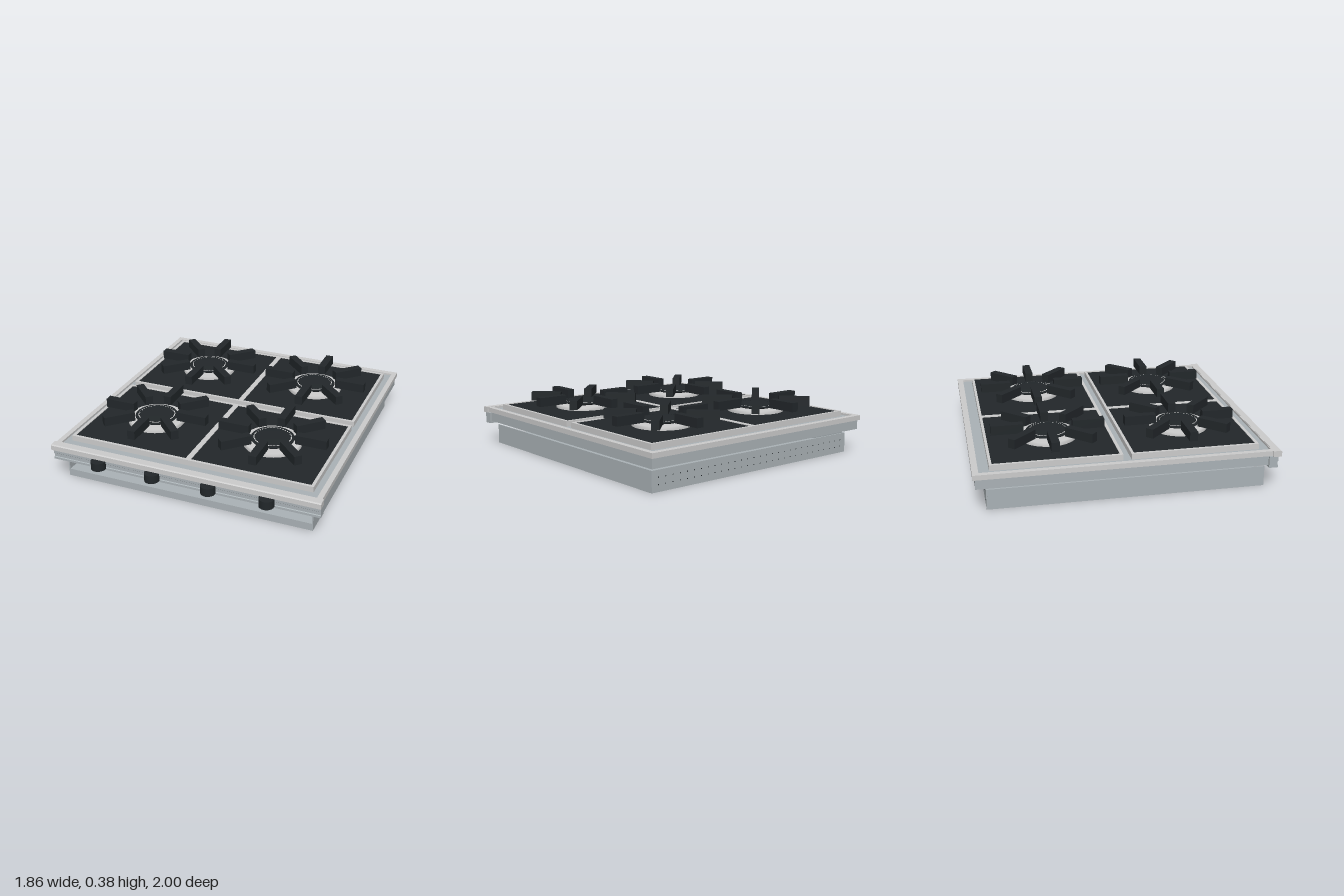
import * as THREE from 'three';

const steel = new THREE.MeshStandardMaterial({ color: 0xaab2b6 });
const light = new THREE.MeshStandardMaterial({ color: 0xcccccc, side: THREE.DoubleSide });
const dark = new THREE.MeshStandardMaterial({ color: 0x22272a });

function add(parent, name, geometry, material) {
  const mesh = new THREE.Mesh(geometry, material);
  mesh.name = name;
  parent.add(mesh);
  return mesh;
}

// Box given by its limits on each axis
function box(parent, name, [x0, x1], [y0, y1], [z0, z1], material) {
  const mesh = add(parent, name, new THREE.BoxGeometry(x1 - x0, y1 - y0, z1 - z0), material);
  mesh.position.set((x0 + x1) / 2, (y0 + y1) / 2, (z0 + z1) / 2);
  return mesh;
}

// Flat rectangular frame lying in xz, with a rectangular opening
function frame(parent, name, [x0, x1], [z0, z1], [ix0, ix1], [iz0, iz1], [y0, y1], material) {
  const rect = (Type, a, b, c, d) => new Type([[a, c], [b, c], [b, d], [a, d]].map(p => new THREE.Vector2(...p)));
  const shape = rect(THREE.Shape, x0, x1, -z1, -z0);
  shape.holes.push(rect(THREE.Path, ix0, ix1, -iz1, -iz0));
  const geo = new THREE.ExtrudeGeometry(shape, { depth: y1 - y0, bevelEnabled: false });
  geo.rotateX(-Math.PI / 2).translate(0, y0, 0);
  return add(parent, name, geo, material);
}

// Profile of [z, y] points swept along x, centred
function sweepX(parent, name, points, width, material) {
  const shape = new THREE.Shape(points.map(([z, y]) => new THREE.Vector2(-z, y)));
  const geo = new THREE.ExtrudeGeometry(shape, { depth: width, bevelEnabled: false });
  geo.rotateY(Math.PI / 2).translate(-width / 2, 0, 0);
  return add(parent, name, geo, material);
}

const lathe = (points, segments = 48) =>
  new THREE.LatheGeometry(points.map(p => new THREE.Vector2(...p)), segments);

function createBase() {
  const g = new THREE.Group();
  g.name = 'baseTray';
  box(g, 'trayFloor', [-0.86, 0.86], [0, 0.05], [-0.91, 0.875], steel);
  for (const s of [-1, 1]) {
    const x = s * 0.857;
    box(g, 'traySide', [x - 0.004, x + 0.004], [0, 0.135], [-0.91, 0.875], steel);
  }
  box(g, 'trayBack', [-0.86, 0.86], [0, 0.135], [-0.92, -0.91], steel);

  // Small vent holes along the back
  const vents = new THREE.InstancedMesh(new THREE.CircleGeometry(0.004, 8), dark, 60);
  vents.name = 'ventHoles';
  const m = new THREE.Matrix4();
  for (let i = 0; i < 60; i++) {
    m.makeRotationY(Math.PI).setPosition(-0.81 + (i % 30) * 0.0559, i < 30 ? 0.045 : 0.09, -0.9207);
    vents.setMatrixAt(i, m);
  }
  g.add(vents);
  return g;
}

function createTop() {
  const g = new THREE.Group();
  g.name = 'cooktop';
  box(g, 'cooktopPan', [-0.91, 0.91], [0.165, 0.25], [-0.985, 0.885], steel);
  frame(g, 'cooktopRim', [-0.92, 0.92], [-1, 0.91], [-0.885, 0.885], [-0.96, 0.9], [0.23, 0.263], light);
  box(g, 'recessFrontStrip', [-0.885, 0.885], [0.23, 0.25], [0.88, 0.905], steel);

  // Front rail and control panel
  sweepX(g, 'frontRail', [[0.905, 0.225], [0.96, 0.225], [0.96, 0.258], [0.954, 0.265], [0.905, 0.265]], 1.86, light);
  sweepX(g, 'controlPanel', [[0.88, 0.15], [0.94, 0.15], [0.94, 0.165], [0.934, 0.168],
    [0.934, 0.19], [0.94, 0.195], [0.94, 0.225], [0.88, 0.225]], 1.85, steel);
  for (const x of [-0.583, -0.195, 0.195, 0.583]) {
    const knob = add(g, 'knob', new THREE.CylinderGeometry(0.049, 0.049, 0.056, 28), dark);
    knob.position.set(x, 0.188, 0.951);
  }
  return g;
}

// Drip pan with its light border; signs pick the column
function createDripPan(s, z0, z1) {
  const g = new THREE.Group();
  g.name = 'dripPan';
  const xs = s > 0 ? [0, 0.842] : [-0.842, 0];
  const inner = s > 0 ? [0.018, 0.822] : [-0.822, -0.018];
  const iz = [z0 + 0.018, z1 - 0.02];
  frame(g, 'panBorder', xs, [z0, z1], inner, iz, [0.25, 0.288], light);
  box(g, 'panPlate', inner, [0.25, 0.284], iz, dark);
  return g;
}

function createBurner() {
  const g = new THREE.Group();
  g.name = 'burner';
  add(g, 'burnerRing', lathe([[0.195, 0.28], [0.195, 0.302], [0.188, 0.309], [0.1, 0.309]]), light);
  add(g, 'burnerBowl', lathe([[0.1, 0.305], [0.112, 0.309], [0.142, 0.318], [0.146, 0.323], [0.142, 0.328],
    [0.126, 0.328], [0.126, 0.318], [0.0001, 0.318]]), dark);
  add(g, 'flameRing', lathe([[0.126, 0.329], [0.117, 0.329]]), light);
  add(g, 'burnerCap', lathe([[0.116, 0.318], [0.116, 0.329], [0.112, 0.333], [0.0001, 0.333]]), dark);

  // Flame teeth around the cap
  const toothGeo = new THREE.BoxGeometry(0.007, 0.012, 0.005);
  for (let i = 0; i < 36; i++) {
    const a = i * Math.PI / 18;
    const tooth = add(g, 'flameTooth', toothGeo, dark);
    tooth.position.set(Math.cos(a) * 0.118, 0.328, Math.sin(a) * 0.118);
    tooth.rotation.y = -a;
  }

  // Eight radial pan supports
  const barGeo = new THREE.BoxGeometry(0.212, 0.062, 0.053);
  barGeo.translate(0.268, 0.353, 0);
  for (let i = 0; i < 8; i++) {
    add(g, 'grateBar', barGeo, dark).rotation.y = i * Math.PI / 4;
  }
  return g;
}

export function createModel() {
  const model = new THREE.Group();
  model.name = 'gasCooktop';
  model.add(createBase(), createTop());
  const rows = [[-0.893, -0.055, -0.474], [-0.003, 0.835, 0.413]];
  for (const s of [-1, 1]) {
    for (const [z0, z1, zc] of rows) {
      model.add(createDripPan(s, z0, z1));
      const burner = createBurner();
      burner.position.set(s * 0.423, 0, zc);
      model.add(burner);
    }
  }
  return model;
}
